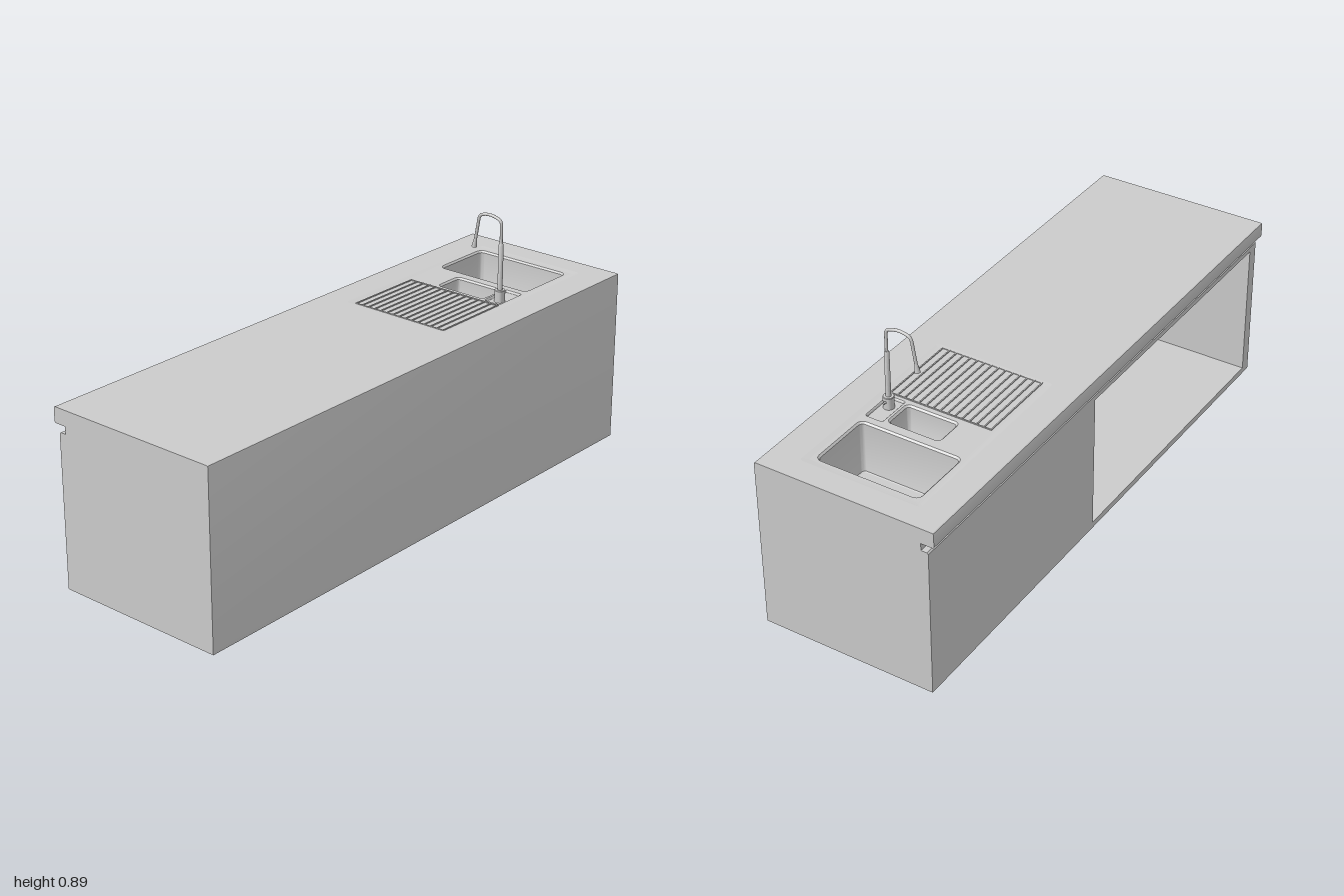
import * as THREE from 'three';
import { toCreasedNormals } from 'three/addons/utils/BufferGeometryUtils.js';

const TOP = 0.603, FRONT = 0.315, BACK = -0.295;
const solid = new THREE.MeshStandardMaterial({ color: 0xcccccc });
const sheet = new THREE.MeshStandardMaterial({ color: 0xcccccc, side: THREE.DoubleSide });

function add(parent, name, geometry, material = solid) {
  const mesh = new THREE.Mesh(geometry, material);
  mesh.name = name;
  parent.add(mesh);
  return mesh;
}

// Skin between successive loops of [x, y, z] points
function loft(loops, closed) {
  const n = loops[0].length, index = [];
  for (let k = 0; k < loops.length - 1; k++) {
    for (let i = 0; i < (closed ? n : n - 1); i++) {
      const a = k * n + i, b = k * n + (i + 1) % n;
      index.push(a, a + n, b, b, a + n, b + n);
    }
  }
  const g = new THREE.BufferGeometry();
  g.setAttribute('position', new THREE.Float32BufferAttribute(loops.flat(2), 3));
  g.setIndex(index);
  return toCreasedNormals(g, 0.6);
}

// Rounded rectangle outline in plan, as [x, z] points
function outline([x0, x1, z0, z1], r, inset = 0) {
  const rad = Math.max(r - inset, 0.003), pts = [];
  const corners = [[x1, z1, -1, -1], [x0, z1, 1, -1], [x0, z0, 1, 1], [x1, z0, -1, 1]];
  corners.forEach(([x, z, sx, sz], c) => {
    for (let i = 0; i <= 6; i++) {
      const a = (c + i / 6) * Math.PI / 2;
      pts.push([x + sx * (inset + rad) + rad * Math.cos(a), z + sz * (inset + rad) + rad * Math.sin(a)]);
    }
  });
  return pts;
}

// Horizontal sheet facing up, with optional holes
function flat(points, holes, y) {
  const v = list => list.map(([x, z]) => new THREE.Vector2(x, -z));
  const shape = new THREE.Shape(v(points));
  shape.holes = holes.map(h => new THREE.Path(v(h)));
  return new THREE.ShapeGeometry(shape).rotateX(-Math.PI / 2).translate(0, y, 0);
}

// Recess: steps are [inset, y] from rim to floor
function recess(parent, name, rect, r, steps, floorHoles = []) {
  const g = new THREE.Group();
  g.name = name;
  parent.add(g);
  add(g, 'walls', loft(steps.map(([i, y]) => outline(rect, r, i).map(([x, z]) => [x, y, z])), true), sheet);
  const [inset, y] = steps[steps.length - 1];
  add(g, 'floor', flat(outline(rect, r, inset), floorHoles, y), sheet);
  return g;
}

export function createModel() {
  const model = new THREE.Group();
  model.name = 'kitchenIsland';

  // Side profile [z, y]: front and base, then grip channel and worktop lip
  const frontRun = [[0.31, TOP], [0.3135, TOP - 0.0015], [FRONT, TOP - 0.005], [FRONT, 0], [BACK, 0]];
  const lipRun = [[BACK, 0.52], [BACK + 0.005, 0.525], [-0.27, 0.525], [-0.27, 0.55], [-0.31, 0.55],
    [-0.3135, 0.5515], [-0.315, 0.555], [-0.315, TOP - 0.005], [-0.3135, TOP - 0.0015], [-0.31, TOP]];
  for (const [name, run] of [['frontAndBase', frontRun], ['worktopLip', lipRun]]) {
    add(model, name, loft([-1, 1].map(x => run.map(([z, y]) => [x, y, z])), false), sheet);
  }

  // End panels
  for (const s of [-1, 1]) {
    const shape = new THREE.Shape([...frontRun, ...lipRun].map(([z, y]) => new THREE.Vector2(-s * z, y)));
    add(model, s > 0 ? 'leftEndPanel' : 'rightEndPanel',
      new THREE.ShapeGeometry(shape).rotateY(s * Math.PI / 2).translate(s, 0, 0), sheet);
  }

  // Back panel with the open niche
  const n = { x0: -0.96, x1: 0.08, y0: 0.022, y1: 0.503, depth: 0.357 };
  const rect = (x0, x1, y0, y1) => [[x0, y0], [x1, y0], [x1, y1], [x0, y1]].map(p => new THREE.Vector2(...p));
  const backShape = new THREE.Shape(rect(-1, 1, 0, 0.52));
  backShape.holes.push(new THREE.Path(rect(-n.x1, -n.x0, n.y0, n.y1)));
  add(model, 'backPanel', new THREE.ShapeGeometry(backShape).rotateY(Math.PI).translate(0, 0, BACK), sheet);
  const niche = new THREE.BoxGeometry(n.x1 - n.x0, n.y1 - n.y0, n.depth);
  niche.setIndex([...niche.index.array].slice(0, 30)); // leave the rear face open
  niche.clearGroups();
  niche.translate((n.x0 + n.x1) / 2, (n.y0 + n.y1) / 2, BACK + n.depth / 2);
  add(model, 'openNiche', niche, sheet);

  // Worktop surface around the sink area
  const sinkArea = [0.2, 0.92, -0.215, 0.21];
  add(model, 'worktop', flat([[-1, 0.31], [1, 0.31], [1, -0.31], [-1, -0.31]], [outline(sinkArea, 0.012)], TOP), sheet);

  // Shallow sink deck with two bowls and a tap ledge
  const deck = TOP - 0.002;
  const basins = [
    ['largeBowl', [0.66, 0.89, -0.19, 0.177], 0.022, 0.18],
    ['smallBowl', [0.517, 0.628, -0.085, 0.107], 0.018, 0.1],
    ['tapLedge', [0.512, 0.635, 0.115, 0.18], 0.008, 0.008],
  ];
  recess(model, 'sinkDeck', sinkArea, 0.012, [[0, TOP], [0.02, deck]], basins.map(b => outline(b[1], b[2])));
  for (const [name, area, r, depth] of basins) {
    const e = Math.min(0.006, depth / 3);
    recess(model, name, area, r, [[0, deck], [e * 0.3, deck - e * 0.3], [e, deck - e],
      [e * 1.3, deck - depth + e], [e * 1.6, deck - depth + e * 0.3], [e * 2.3, deck - depth]]);
  }
  const drain = new THREE.CylinderGeometry(0.022, 0.022, 0.003, 24);
  add(model, 'largeDrain', drain).position.set(0.775, deck - 0.179, 0);
  add(model, 'smallDrain', drain).position.set(0.572, deck - 0.099, 0.01);

  // Draining rack: long ribs and cross bars
  const rack = new THREE.Group();
  rack.name = 'drainingRack';
  model.add(rack);
  for (let i = 0; i < 15; i++) {
    add(rack, 'rib', new THREE.BoxGeometry(0.29, 0.0035, 0.004))
      .position.set(0.355, deck + 0.00175, -0.182 + i * 0.026);
  }
  for (const x of [0.212, 0.498]) {
    add(rack, 'crossBar', new THREE.BoxGeometry(0.004, 0.003, 0.368)).position.set(x, deck + 0.0015, 0);
  }

  // Tap: turned base and column, bent neck, flared spray head
  const tap = new THREE.Group();
  tap.name = 'tap';
  tap.position.set(0.552, 0, 0.15);
  model.add(tap);
  const turned = [[0.018, 0.593], [0.018, 0.633], [0.0165, 0.635], [0.0085, 0.635], [0.0085, 0.79], [0.006, 0.797], [0, 0.797]];
  add(tap, 'baseAndColumn', toCreasedNormals(
    new THREE.LatheGeometry(turned.map(p => new THREE.Vector2(...p)), 24), 0.6), sheet);
  const v = (y, z) => new THREE.Vector3(0, y, z);
  const neck = new THREE.CurvePath();
  neck.add(new THREE.LineCurve3(v(0.79, 0), v(0.855, 0)));
  neck.add(new THREE.QuadraticBezierCurve3(v(0.855, 0), v(0.874, 0), v(0.877, -0.015)));
  neck.add(new THREE.QuadraticBezierCurve3(v(0.877, -0.015), v(0.89, -0.05), v(0.877, -0.082)));
  neck.add(new THREE.QuadraticBezierCurve3(v(0.877, -0.082), v(0.872, -0.092), v(0.855, -0.094)));
  neck.add(new THREE.LineCurve3(v(0.855, -0.094), v(0.785, -0.106)));
  add(tap, 'neck', new THREE.TubeGeometry(neck, 60, 0.0052, 12));
  const head = add(tap, 'sprayHead', new THREE.CylinderGeometry(0.0052, 0.009, 0.03, 16));
  head.position.set(0, 0.774, -0.108);
  head.rotation.x = 0.17;

  // Tap lever
  const lever = add(tap, 'lever', new THREE.CylinderGeometry(0.004, 0.004, 0.012, 12));
  lever.rotation.z = Math.PI / 2;
  lever.position.set(0.02, 0.62, 0);
  return model;
}
